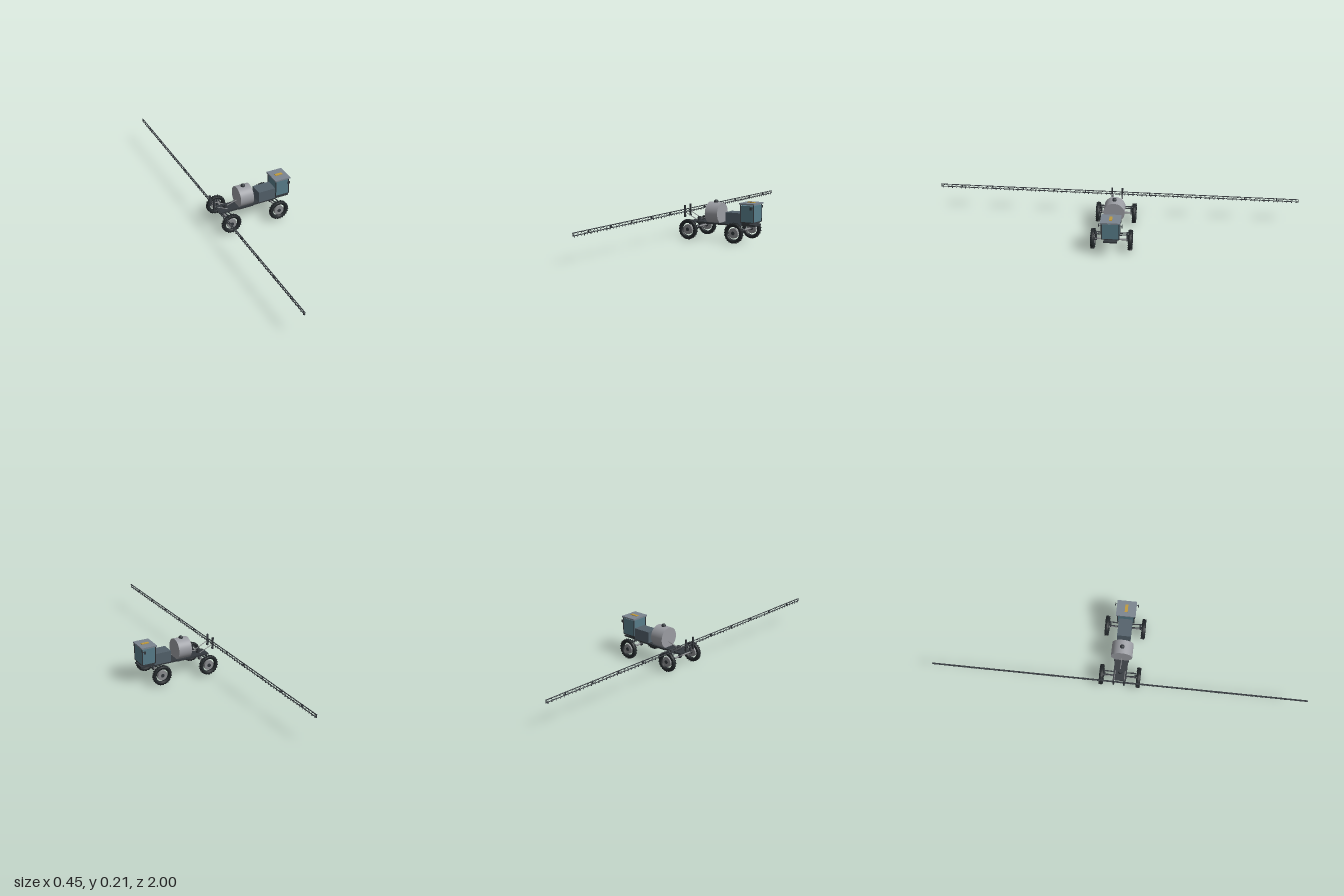
import * as THREE from 'three';

const mat = (color) => new THREE.MeshStandardMaterial({ color });
const M = {
  rubber: mat(0x23282b), dark: mat(0x34393e), boom: mat(0x3a3f44), steel: mat(0x8b8d90),
  tank: mat(0x9b9da3), hood: mat(0x53616b), glass: mat(0x587d8a), roof: mat(0x7b858f), amber: mat(0xc09a3c),
};

function add(parent, name, geo, m, x = 0, y = 0, z = 0) {
  const mesh = new THREE.Mesh(geo, m);
  mesh.name = name;
  mesh.position.set(x, y, z);
  parent.add(mesh);
  return mesh;
}
// Box given by its minimum and maximum corners
function box(parent, name, m, x0, x1, y0, y1, z0, z1) {
  return add(parent, name, new THREE.BoxGeometry(x1 - x0, y1 - y0, z1 - z0), m,
    (x0 + x1) / 2, (y0 + y1) / 2, (z0 + z1) / 2);
}
// Round bar between two points
function bar(parent, name, m, a, b, r, sides = 8) {
  const p = new THREE.Vector3(...a), q = new THREE.Vector3(...b);
  const d = q.clone().sub(p);
  const mesh = add(parent, name, new THREE.CylinderGeometry(r, r, d.length(), sides), m);
  mesh.position.copy(p).add(q).multiplyScalar(0.5);
  mesh.quaternion.setFromUnitVectors(new THREE.Vector3(0, 1, 0), d.normalize());
  return mesh;
}

const WHEEL_Y = 0.0565;

// Tyre section (radius, width): rounded sidewalls and a broad tread, closed at the bore
const TYRE = [[0.034, 0], [0.0355, -0.006], [0.04, -0.0095], [0.046, -0.0105], [0.051, -0.0095],
  [0.0535, -0.006], [0.054, 0], [0.0535, 0.006], [0.051, 0.0095], [0.046, 0.0105],
  [0.04, 0.0095], [0.0355, 0.006], [0.034, 0]].map(([r, w]) => new THREE.Vector2(r, w));
const tyreGeo = new THREE.LatheGeometry(TYRE, 44).rotateX(Math.PI / 2);
const lugGeo = new THREE.BoxGeometry(0.0045, 0.003, 0.011);

function wheel(x, side) {
  const g = new THREE.Group();
  g.name = 'wheel';
  add(g, 'tyre', tyreGeo, M.rubber);
  // Angled tread lugs in two staggered rows
  const n = 44;
  for (let i = 0; i < n; i++) {
    const row = i % 2 ? 1 : -1;
    const pivot = new THREE.Group();
    pivot.name = 'treadLug';
    pivot.rotation.z = (i / n) * Math.PI * 2;
    g.add(pivot);
    add(pivot, 'lug', lugGeo, M.rubber, 0, 0.0533, row * 0.0055).rotation.set(row * 0.15, row * 0.5, 0);
  }
  bar(g, 'rimDisc', M.steel, [0, 0, -0.007], [0, 0, 0.007], 0.027, 28);
  bar(g, 'hub', M.dark, [0, 0, -0.01], [0, 0, 0.01], 0.01, 14);
  g.position.set(x, WHEEL_Y, side * 0.1);
  return g;
}

function axle(x) {
  const g = new THREE.Group();
  g.name = 'axle';
  bar(g, 'axleShaft', M.steel, [x, WHEEL_Y + 0.002, -0.1], [x, WHEEL_Y + 0.002, 0.1], 0.005, 12);
  add(g, 'differential', new THREE.SphereGeometry(0.011, 16, 12), M.dark, x, WHEEL_Y + 0.002, 0);
  for (const s of [-1, 1]) {
    g.add(wheel(x, s));
    bar(g, 'steeringKnuckle', M.dark, [x, 0.05, s * 0.083], [x, 0.097, s * 0.083], 0.005);
    for (const dx of [-0.01, 0.01])
      bar(g, 'suspensionArm', M.dark, [x + dx, 0.088, s * 0.03], [x + dx, 0.095, s * 0.088], 0.0035);
  }
  return g;
}

function cab() {
  const g = new THREE.Group();
  g.name = 'cab';
  box(g, 'glassCabin', M.glass, 0.14, 0.216, 0.109, 0.198, -0.046, 0.046);
  box(g, 'cabFloor', M.dark, 0.138, 0.218, 0.107, 0.111, -0.047, 0.047);
  box(g, 'cabMount', M.dark, 0.14, 0.187, 0.096, 0.108, -0.036, 0.036);
  for (const z of [-0.046, 0.046])
    for (const x of [0.139, 0.217])
      bar(g, 'pillar', M.dark, [x, 0.109, z], [x, 0.204, z], 0.0028);
  box(g, 'roof', M.roof, 0.133, 0.223, 0.203, 0.211, -0.053, 0.053);
  box(g, 'warningLight', M.amber, 0.157, 0.2, 0.211, 0.2142, -0.008, 0.008);
  for (const s of [-1, 1]) {
    bar(g, 'mirrorArm', M.dark, [0.214, 0.187, s * 0.046], [0.21, 0.187, s * 0.061], 0.0015);
    add(g, 'mirror', new THREE.BoxGeometry(0.012, 0.015, 0.004), M.dark, 0.209, 0.187, s * 0.062);
  }
  return g;
}

function boom() {
  const g = new THREE.Group(), x = -0.218, lo = 0.139, hi = 0.153;
  g.name = 'sprayBoom';
  bar(g, 'upperRail', M.boom, [x, hi, -1], [x, hi, 1], 0.0024);
  bar(g, 'lowerRail', M.boom, [x, lo, -1], [x, lo, 1], 0.0024);
  // Zigzag lattice with a spray nozzle under each bay
  const bays = 80, step = 2 / bays;
  for (let i = 0; i < bays; i++) {
    const z = -1 + i * step;
    bar(g, 'lattice', M.boom, [x, i % 2 ? hi : lo, z], [x, i % 2 ? lo : hi, z + step], 0.0013, 6);
    bar(g, 'nozzle', M.dark, [x, 0.131, z + step / 2], [x, lo, z + step / 2], 0.0018, 6);
  }
  for (const z of [-0.998, 0.998])
    bar(g, 'endPost', M.boom, [x, lo, z], [x, hi, z], 0.002);
  // Folding joints along both wings
  for (let k = 0; k < 5; k++)
    for (const s of [-1, 1])
      add(g, 'foldJoint', new THREE.BoxGeometry(0.007, 0.017, 0.005), M.dark, x, (lo + hi) / 2, s * (0.18 + k * 0.175));
  // Lift mast and arms
  for (const s of [-1, 1]) {
    box(g, 'liftMast', M.dark, x - 0.006, x + 0.003, 0.11, 0.176, s * 0.028 - 0.004, s * 0.028 + 0.004);
    bar(g, 'mastFoot', M.dark, [x, 0.135, s * 0.028], [x + 0.005, 0.112, s * 0.028], 0.003);
    bar(g, 'liftArm', M.steel, [x, 0.138, s * 0.028], [-0.14, 0.1, s * 0.026], 0.0022);
  }
  return g;
}

export function createModel() {
  const model = new THREE.Group();
  model.name = 'fieldSprayer';

  // Frame
  box(model, 'chassis', M.dark, -0.19, 0.14, 0.084, 0.093, -0.036, 0.036);
  box(model, 'frontFrame', M.dark, 0.1, 0.22, 0.088, 0.097, -0.036, 0.036);
  model.add(axle(-0.1535), axle(0.1285));

  // Tank with saddle and filler dome
  bar(model, 'tank', M.tank, [-0.075, 0.143, 0], [0.002, 0.143, 0], 0.0575, 48);
  box(model, 'tankSaddle', M.dark, -0.081, 0.007, 0.084, 0.093, -0.04, 0.04);
  add(model, 'fillerDome', new THREE.SphereGeometry(0.012, 20, 8, 0, Math.PI * 2, 0, Math.PI / 2),
    M.dark, -0.037, 0.2025, 0);
  bar(model, 'fillerNeck', M.dark, [-0.037, 0.197, 0], [-0.037, 0.2025, 0], 0.012, 20);

  // Pump and feed pipe
  bar(model, 'pump', M.dark, [-0.144, 0.092, 0], [-0.144, 0.11, 0], 0.012, 16);
  bar(model, 'pumpCap', M.dark, [-0.144, 0.11, 0], [-0.144, 0.115, 0], 0.009, 16);
  bar(model, 'feedPipe', M.steel, [-0.14, 0.102, 0], [-0.074, 0.121, 0], 0.0022);

  // Engine hood
  box(model, 'engineHood', M.hood, 0.041, 0.14, 0.092, 0.1545, -0.037, 0.037);

  model.add(cab(), boom());
  return model;
}
